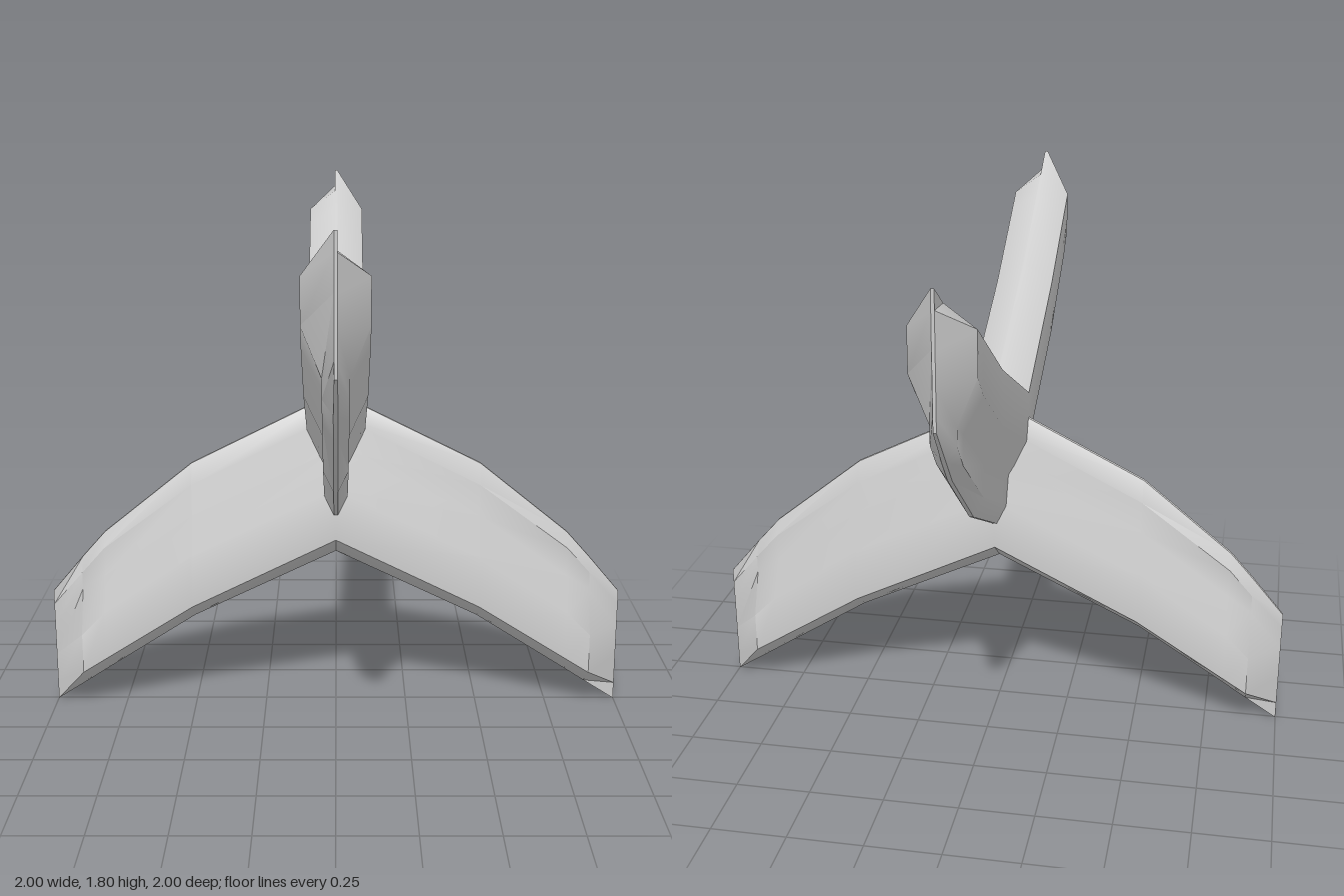
import * as THREE from 'three';
import { toCreasedNormals } from 'three/addons/utils/BufferGeometryUtils.js';

// Half sections along one arm: x, then heights from the thick edge to the thin edge
const STATIONS = [
  [0, 0.56, 0.63, 0.81, 0.94, 1.06, 1.13],
  [0.5, 0.32, 0.385, 0.57, 0.70, 0.81, 0.88],
  [0.81, 0.122, 0.19, 0.36, 0.48, 0.58, 0.63],
  [0.89, 0.07, 0.14, 0.28, 0.43, 0.49, 0.54],
  [1, 0, 0.06, 0.17, 0.28, 0.36, 0.41],
];
// Half thickness at each height, and at the pinched tip
const THICK = [0.005, 0.1, 0.1, 0.04, 0.04, 0.007];
const TIP = 0.005;

// Two-armed blade lofted from tip to tip
function bladeGeometry() {
  const mirrored = STATIONS.slice(1).reverse().map(([x, ...ys]) => [-x, ...ys]);
  const stations = [...mirrored, ...STATIONS];
  const n = THICK.length * 2;
  const positions = [];
  const index = [];
  for (const [x, ...ys] of stations) {
    const half = (j) => (Math.abs(x) === 1 ? TIP : THICK[j]);
    for (let j = 0; j < ys.length; j++) positions.push(x, ys[j], half(j));
    for (let j = ys.length - 1; j >= 0; j--) positions.push(x, ys[j], -half(j));
  }
  for (let i = 0; i < stations.length - 1; i++) {
    for (let j = 0; j < n; j++) {
      const a = i * n + j, b = i * n + ((j + 1) % n);
      index.push(a, a + n, b + n, a, b + n, b);
    }
  }
  // Narrow caps closing both tips
  const last = (stations.length - 1) * n;
  for (let j = 0; j < n / 2 - 1; j++) {
    const k = n - 1 - j;
    index.push(j, j + 1, k - 1, j, k - 1, k);
    index.push(last + j, last + k - 1, last + j + 1, last + j, last + k, last + k - 1);
  }
  const geometry = new THREE.BufferGeometry();
  geometry.setAttribute('position', new THREE.Float32BufferAttribute(positions, 3));
  geometry.setIndex(index);
  return toCreasedNormals(geometry, 0.62);
}

export function createModel() {
  const model = new THREE.Group();
  model.name = 'crossedBlades';
  const material = new THREE.MeshStandardMaterial({ color: 0xcccccc });
  const geometry = bladeGeometry();

  // Blade with arms sweeping down to left and right
  const lower = new THREE.Mesh(geometry, material);
  lower.name = 'droopingBlade';

  // Same blade upside down, turned a quarter, arms sweeping up to front and back
  const upper = new THREE.Mesh(geometry, material);
  upper.name = 'risingBlade';
  upper.rotation.set(Math.PI, Math.PI / 2, 0);
  upper.position.y = 1.8;

  model.add(lower, upper);
  return model;
}
